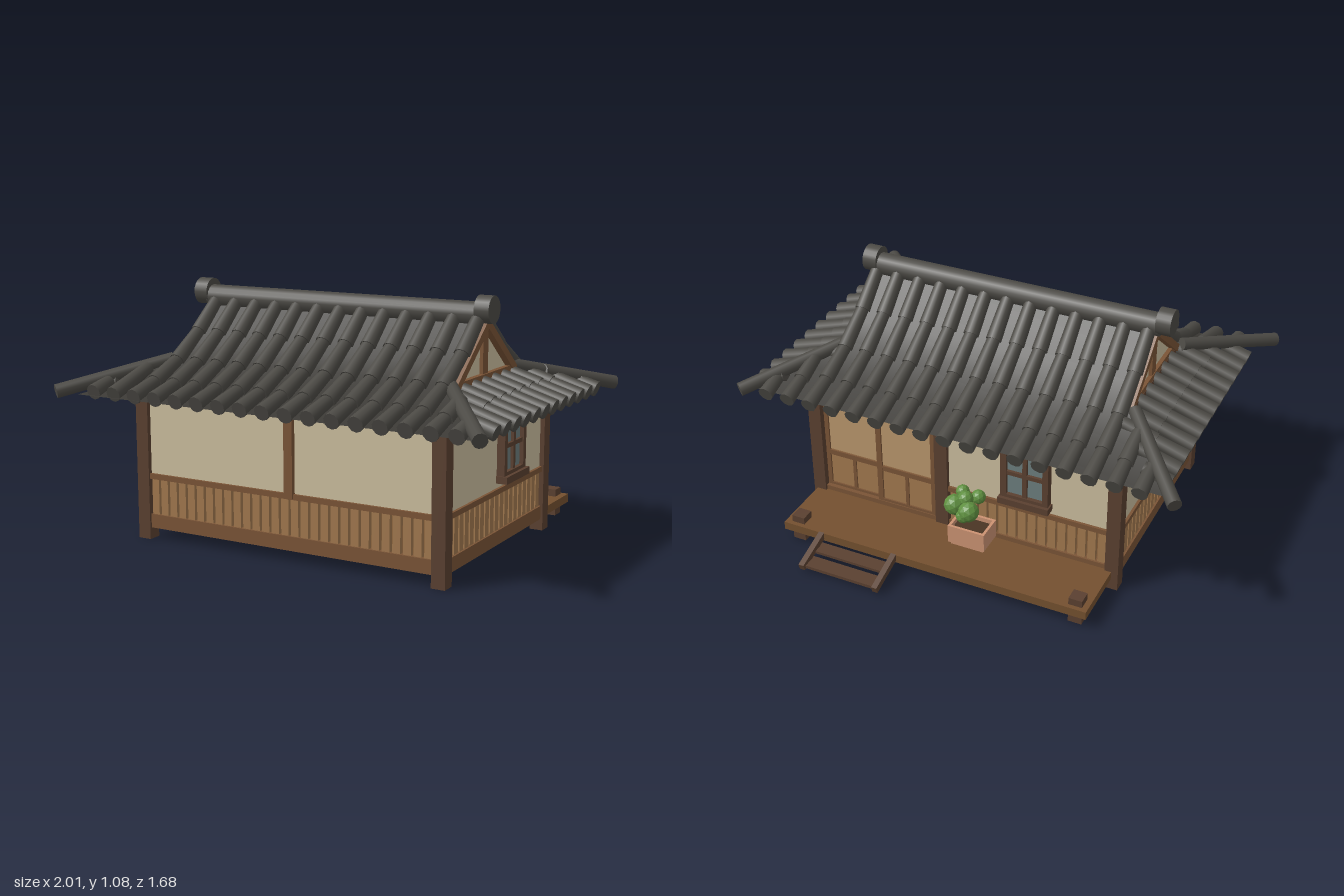
import * as THREE from 'three';

const mat = (color, flat = false) => new THREE.MeshStandardMaterial({ color, flatShading: flat, side: THREE.DoubleSide });
const M = {
  tile: mat(0x4c4a45), pan: mat(0x3b3935), post: mat(0x5a4030), beam: mat(0x7a5436), slat: mat(0xa1784e),
  plaster: mat(0xcbbd9e), floor: mat(0x74502f), glass: mat(0x6c7d7d), door: mat(0xb9966c),
  pot: mat(0xcb9272), soil: mat(0x4a3524), leaf: mat(0x5f9040, true),
};
const V = (x, y, z) => new THREE.Vector3(x, y, z);

function add(parent, name, geo, material, x = 0, y = 0, z = 0) {
  const m = new THREE.Mesh(geo, material);
  m.name = name;
  m.position.set(x, y, z);
  parent.add(m);
  return m;
}
// box given by its limits on each axis
function slab(parent, name, material, x0, x1, y0, y1, z0, z1) {
  return add(parent, name, new THREE.BoxGeometry(x1 - x0, y1 - y0, z1 - z0), material, (x0 + x1) / 2, (y0 + y1) / 2, (z0 + z1) / 2);
}
// round bar from a to b
function rod(parent, name, a, b, ra, rb, material = M.tile, sides = 10) {
  const d = b.clone().sub(a);
  const m = add(parent, name, new THREE.CylinderGeometry(rb, ra, d.length(), sides), material);
  m.position.copy(a).add(b).multiplyScalar(0.5);
  m.quaternion.setFromUnitVectors(V(0, 1, 0), d.normalize());
  return m;
}
function group(parent, name) {
  const g = new THREE.Group();
  g.name = name;
  parent.add(g);
  return g;
}

// four-pane window facing +z
function makeWindow(parent, x) {
  const g = group(parent, 'window');
  g.position.set(x, 0, 0.015);
  slab(g, 'windowGlass', M.glass, -0.09, 0.09, 0.35, 0.57, -0.02, 0.012);
  for (const s of [-1, 1]) slab(g, 'windowJamb', M.post, s * 0.095 - 0.013, s * 0.095 + 0.013, 0.34, 0.58, -0.02, 0.03);
  slab(g, 'windowLintel', M.post, -0.112, 0.112, 0.565, 0.59, -0.02, 0.035);
  slab(g, 'windowBottomRail', M.post, -0.1, 0.1, 0.335, 0.355, -0.02, 0.03);
  slab(g, 'windowSill', M.post, -0.115, 0.115, 0.31, 0.34, -0.02, 0.045);
  slab(g, 'windowMullion', M.post, -0.01, 0.01, 0.35, 0.57, -0.02, 0.025);
  slab(g, 'windowCrossbar', M.post, -0.09, 0.09, 0.452, 0.47, -0.02, 0.025);
}

// plaster above, open slats below; faces +z before turning
function makeWall(parent, name, len, x, z, turn) {
  const g = group(parent, name), h = len / 2;
  g.position.set(x, 0, z);
  g.rotation.y = turn;
  slab(g, 'plaster', M.plaster, -h, h, 0.28, 0.64, -0.015, 0.01);
  slab(g, 'bottomBeam', M.beam, -h, h, 0.05, 0.11, -0.02, 0.02);
  slab(g, 'middleRail', M.beam, -h, h, 0.265, 0.288, -0.02, 0.022);
  slab(g, 'topBeam', M.beam, -h, h, 0.605, 0.635, -0.02, 0.022);
  const n = Math.round(len / 0.047);
  for (let i = 0; i < n; i++) {
    const sx = -h + (i + 0.5) * len / n;
    slab(g, 'slat', M.slat, sx - 0.0175, sx + 0.0175, 0.11, 0.27, -0.008, 0.012);
  }
  return g;
}

function makeHouse(root) {
  const g = group(root, 'house');
  slab(g, 'floor', M.floor, -0.68, 0.72, 0.05, 0.088, -0.39, 0.61);
  for (const x of [-0.68, 0.725]) for (const z of [-0.36, 0.6]) slab(g, 'cornerPost', M.post, x - 0.03, x + 0.03, 0, 0.64, z - 0.03, z + 0.03);
  slab(g, 'backPost', M.post, 0.08, 0.14, 0, 0.64, -0.39, -0.33);
  slab(g, 'frontPost', M.beam, 0.03, 0.07, 0.27, 0.63, 0.59, 0.63);
  makeWall(g, 'frontWall', 1.35, 0.0225, 0.6, 0);
  makeWindow(makeWall(g, 'leftWall', 0.9, 0.725, 0.12, Math.PI / 2), 0.105);
  makeWall(g, 'rightWall', 0.9, -0.68, 0.12, -Math.PI / 2);
  makeWindow(makeWall(g, 'backWall', 0.73, -0.285, -0.36, Math.PI), 0);

  // pair of sliding doors
  slab(g, 'doorLintel', M.beam, 0.14, 0.7, 0.585, 0.635, -0.38, -0.34);
  slab(g, 'doorSill', M.beam, 0.14, 0.7, 0.08, 0.11, -0.38, -0.34);
  [[0.14, 0.43, -0.365], [0.41, 0.7, -0.35]].forEach(([a, b, z]) => {
    const d = group(g, 'slidingDoor');
    slab(d, 'upperPanel', M.door, a, b, 0.3, 0.59, z - 0.004, z + 0.004);
    slab(d, 'lowerPanel', M.slat, a, b, 0.1, 0.3, z - 0.004, z + 0.004);
    for (const x of [a, b - 0.025]) slab(d, 'doorStile', M.beam, x, x + 0.025, 0.1, 0.59, z - 0.012, z + 0.012);
    for (const y of [0.11, 0.285, 0.57]) slab(d, 'doorRail', M.beam, a, b, y - 0.012, y + 0.012, z - 0.011, z + 0.011);
    slab(d, 'doorBatten', M.beam, (a + b) / 2 - 0.008, (a + b) / 2 + 0.008, 0.11, 0.285, z - 0.01, z + 0.01);
  });
}

function makePorch(root) {
  const g = group(root, 'porch');
  slab(g, 'deck', M.floor, -0.68, 0.74, 0.05, 0.088, -0.67, -0.38);
  for (const x of [-0.625, 0.68]) slab(g, 'porchPost', M.post, x - 0.03, x + 0.03, 0, 0.12, -0.65, -0.59);
  // steps
  for (const x of [0.2, 0.553]) {
    const s = add(g, 'stepRail', new THREE.BoxGeometry(0.025, 0.03, 0.185), M.post, x, 0.05, -0.752);
    s.rotation.x = -0.29;
  }
  slab(g, 'upperStep', M.post, 0.2, 0.553, 0.034, 0.046, -0.745, -0.68);
  slab(g, 'lowerStep', M.post, 0.2, 0.553, 0.014, 0.028, -0.828, -0.757);
  // planter and shrub
  const p = group(root, 'planter');
  p.position.set(-0.065, 0, -0.45);
  slab(p, 'planterBase', M.pot, -0.075, 0.075, 0.09, 0.11, -0.05, 0.05);
  slab(p, 'soil', M.soil, -0.08, 0.08, 0.11, 0.17, -0.055, 0.055);
  for (const s of [-1, 1]) {
    slab(p, 'planterSide', M.pot, -0.085, 0.085, 0.105, 0.19, s * 0.055 - 0.006, s * 0.055 + 0.006);
    slab(p, 'planterEnd', M.pot, s * 0.079 - 0.006, s * 0.079 + 0.006, 0.105, 0.19, -0.055, 0.055);
  }
  [[-0.03, 0.32, -0.09, 0.045], [0.04, 0.33, -0.08, 0.045], [0, 0.305, -0.065, 0.035], [0.03, 0.36, -0.02, 0.03],
    [-0.04, 0.35, -0.015, 0.032], [0, 0.355, -0.055, 0.035], [-0.01, 0.30, -0.1, 0.032]]
    .forEach(([x, y, z, r]) => add(p, 'foliage', new THREE.IcosahedronGeometry(r, 1), M.leaf, x, y, z));
}

// roof section: distance out from the ridge -> height
const CX = 0.02, RZ = 0.13, HW = 0.66, HIP = 0.29, EAVE = 0.64;
const profile = [[0, 0.995], [0.1, 0.905], [0.2, 0.825], [HIP, 0.762], [0.45, 0.685], [0.8, 0.585]];
function roofY(d) {
  const i = Math.max(1, profile.findIndex(p => p[0] >= d));
  const [a, b] = [profile[i - 1], profile[i]];
  return a[1] + (b[1] - a[1]) * (d - a[0]) / (b[0] - a[0]);
}
// strips joining pairs of points
function sheet(parent, name, pairs) {
  const pos = pairs.flat().flatMap(p => [p.x, p.y, p.z]), idx = [];
  for (let i = 0; i < pairs.length - 1; i++) idx.push(2 * i, 2 * i + 2, 2 * i + 1, 2 * i + 1, 2 * i + 2, 2 * i + 3);
  const geo = new THREE.BufferGeometry();
  geo.setAttribute('position', new THREE.Float32BufferAttribute(pos, 3));
  geo.setIndex(idx);
  geo.computeVertexNormals();
  add(parent, name, geo, M.pan);
}
// column of overlapping round tiles along at(t), t0 -> t1
function tileColumn(parent, at, t0, t1, step) {
  const n = Math.max(1, Math.round((t1 - t0) / step));
  for (let i = 0; i < n; i++) {
    const a = t0 + (t1 - t0) * i / n, b = t0 + (t1 - t0) * (i + 1) / n;
    rod(parent, 'roofTile', at(a), at(b + (i < n - 1 ? 0.012 : 0)), 0.028, 0.034);
  }
}

function makeRoof(root) {
  const g = group(root, 'roof');
  const width = d => HW + Math.max(0, d - HIP) * 0.8;
  for (const s of [1, -1]) {
    const slope = group(g, s > 0 ? 'frontSlope' : 'backSlope');
    sheet(slope, 'slopeSheet', [0, 0.1, 0.2, HIP, 0.45, EAVE - 0.01].map(d =>
      [-1, 1].map(e => V(CX + e * width(d), roofY(d) - 0.005, RZ + s * d))));
    for (let i = 0; i < 17; i++) {
      const o = (i - 8) * 0.106, start = Math.abs(o) > HW ? HIP + (Math.abs(o) - HW) / 0.8 : 0;
      const end = s > 0 ? EAVE + 0.012 * o : EAVE + 0.025;
      tileColumn(slope, d => V(CX + o, roofY(d) + 0.012, RZ + s * d), start, end, 0.16);
    }
  }
  for (const s of [1, -1]) {
    // lower skirt on each end
    const skirt = group(g, s > 0 ? 'leftSkirt' : 'rightSkirt');
    const at = (e, z) => V(CX + s * (0.62 + e), 0.725 - 0.33 * e, z);
    sheet(skirt, 'skirtSheet', [0, 0.15, 0.3].map(e => [-1, 1].map(k => at(e, 0.11 + k * (0.26 + 1.1 * e)))));
    for (let i = 0; i < 12; i++) {
      const o = (i - 5.5) * 0.094;
      tileColumn(skirt, e => at(e, 0.105 + o).add(V(0, 0.014, 0)), Math.max(0, (Math.abs(o) - 0.3) / 1.1), 0.315, 0.15);
    }
    // hip ridges
    for (const k of [1, -1]) rod(g, 'hipRidge', V(s * 0.665, 0.755, RZ + k * 0.29), V(s * 0.98, 0.645, RZ + k * 0.69), 0.028, 0.03, M.tile, 12);

    // gable
    const gable = group(g, s > 0 ? 'leftGable' : 'rightGable');
    const x = CX + s * 0.645;
    const tri = new THREE.Shape([[-0.27, 0.74], [0.27, 0.74], [0, 0.96]].map(p => new THREE.Vector2(...p)));
    const panel = add(gable, 'gablePanel', new THREE.ShapeGeometry(tri), M.plaster, x, 0, RZ);
    panel.rotation.y = s * Math.PI / 2;
    slab(gable, 'gableBeam', M.post, x - 0.02, x + 0.02, 0.68, 0.735, RZ - 0.29, RZ + 0.29);
    slab(gable, 'gableTie', M.beam, x - 0.018, x + 0.022, 0.735, 0.76, RZ - 0.28, RZ + 0.28);
    slab(gable, 'gablePost', M.beam, x - 0.015, x + 0.015, 0.75, 0.95, RZ - 0.024, RZ + 0.024);
    for (const k of [1, -1]) {
      const board = add(gable, 'bargeBoard', new THREE.BoxGeometry(0.035, 0.032, 0.36), M.beam, x + s * 0.012, 0.85, RZ + k * 0.142);
      board.rotation.x = k * 0.675;
    }
    rod(g, 'ridgeCap', V(s * 0.65, 1.02, RZ), V(s * 0.715, 1.02, RZ), 0.058, 0.058, M.tile, 20);
  }
  rod(g, 'mainRidge', V(-0.66, 1.0, RZ), V(0.66, 1.0, RZ), 0.05, 0.05, M.tile, 16);
}

export function createModel() {
  const root = new THREE.Group();
  root.name = 'tiledRoofHouse';
  makeHouse(root);
  makePorch(root);
  makeRoof(root);
  return root;
}
